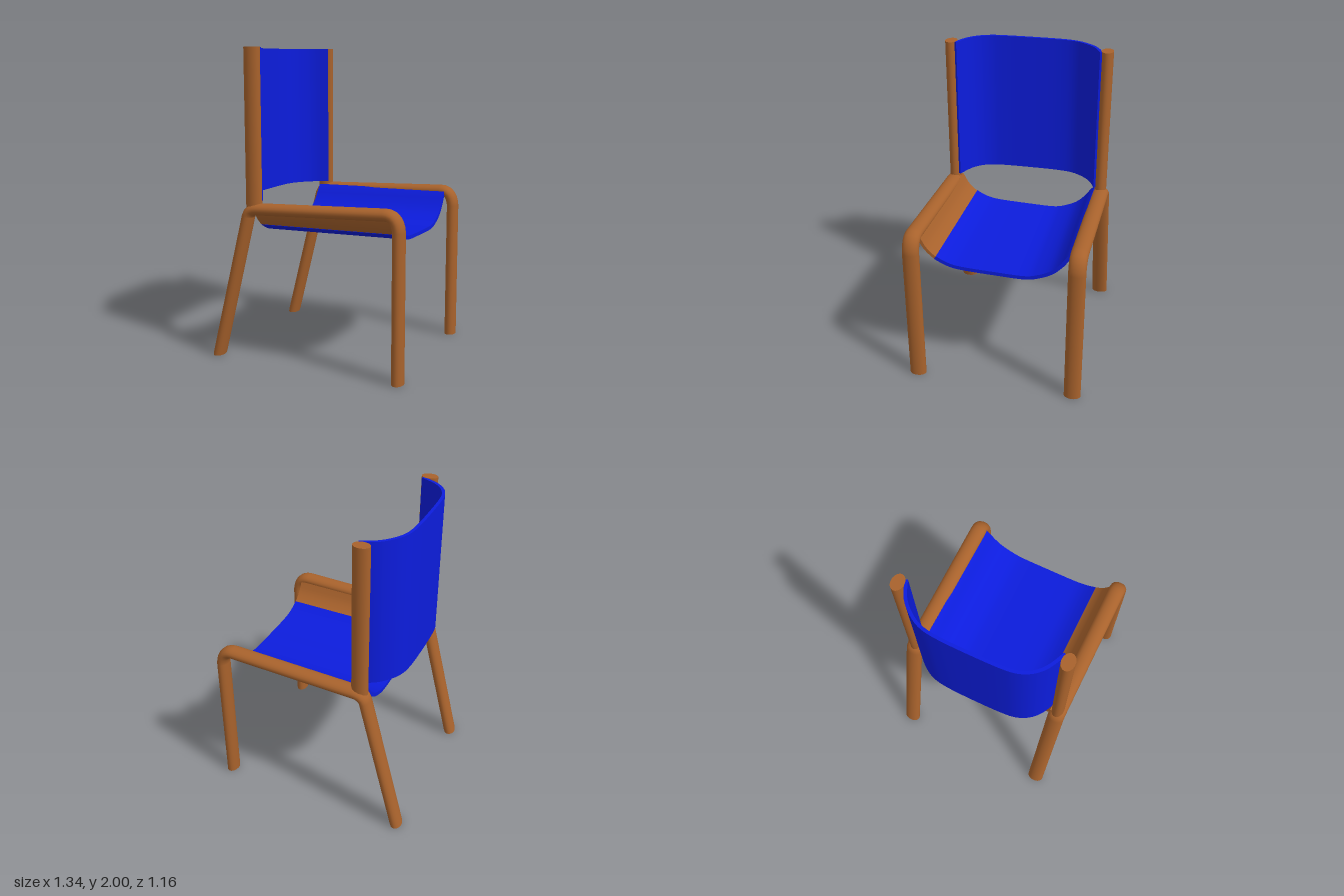
import * as THREE from 'three';
import { toCreasedNormals } from 'three/addons/utils/BufferGeometryUtils.js';

const wood = new THREE.MeshStandardMaterial({ color: 0xa8622c });
const fabric = new THREE.MeshStandardMaterial({ color: 0x0c1cdc });
const v2 = (p) => new THREE.Vector2(p[0], p[1]);
const v3 = (x, y) => new THREE.Vector3(x, y, 0);

// Solid sheet: a curved centreline given thickness, extruded by depth
function sheet(curve, from, to, thickness, depth) {
  const left = [], right = [], n = 40;
  for (let i = 0; i <= n; i++) {
    const t = from + (to - from) * i / n;
    const p = curve.getPointAt(t), d = curve.getTangentAt(t);
    const off = new THREE.Vector2(-d.y, d.x).multiplyScalar(thickness / 2);
    left.push(p.clone().add(off));
    right.unshift(p.clone().sub(off));
  }
  const geo = new THREE.ExtrudeGeometry(new THREE.Shape([...left, ...right]),
    { depth, bevelEnabled: false });
  return toCreasedNormals(geo, 0.7);
}

function add(parent, name, geo, mat) {
  const mesh = new THREE.Mesh(geo, mat);
  mesh.name = name;
  parent.add(mesh);
  return mesh;
}

// Bent oval tube: back leg, side rail and front leg in one piece, plus the post
function sideFrame(name, side) {
  const g = new THREE.Group();
  g.name = name;
  const path = new THREE.CurvePath();
  const a = v3(-0.635, 0), b = v3(-0.395, 0.95), c = v3(-0.31, 0.995),
    d = v3(0.53, 1.025), e = v3(0.622, 0.93), f = v3(0.625, 0);
  path.add(new THREE.LineCurve3(a, b));
  path.add(new THREE.QuadraticBezierCurve3(b, v3(-0.382, 0.995), c));
  path.add(new THREE.LineCurve3(c, d));
  path.add(new THREE.QuadraticBezierCurve3(d, v3(0.61, 1.03), e));
  path.add(new THREE.LineCurve3(e, f));
  const tube = new THREE.TubeGeometry(path, 120, 0.038, 20, false);
  const pos = tube.attributes.position;
  for (let i = 0; i < pos.count; i++) if (pos.getY(i) < 0.0121) pos.setY(i, 0); // flat feet
  tube.scale(1, 1, 1.45);
  add(g, 'legsAndRail', tube, wood);
  for (const x of [a.x, f.x]) {
    const foot = new THREE.CircleGeometry(0.038, 20).rotateX(Math.PI / 2).scale(1, 1, 1.45);
    add(g, 'footCap', foot, wood).position.set(x, 0, 0);
  }
  const post = new THREE.CylinderGeometry(1, 1, 1.01, 24).scale(0.054, 1, 0.04);
  add(g, 'backPost', post, wood).position.set(-0.355, 1.495, -0.004 * side);
  g.position.z = 0.524 * side;
  return g;
}

export function createModel() {
  const model = new THREE.Group();
  model.name = 'chair';
  model.add(sideFrame('leftSideFrame', -1), sideFrame('rightSideFrame', 1));

  // Sling seat: section runs from the +z rail to the -z rail
  const section = new THREE.SplineCurve([
    [-0.485, 1.01], [-0.45, 0.945], [-0.41, 0.9], [-0.365, 0.868], [-0.29, 0.836],
    [-0.2, 0.822], [0, 0.815], [0.19, 0.813], [0.28, 0.834], [0.36, 0.873],
    [0.42, 0.93], [0.46, 0.985], [0.485, 1.01]].map(v2));
  const seat = new THREE.Group();
  seat.name = 'seat';
  const depth = 0.96, split = 0.152;
  add(seat, 'seatEdgeStrip', sheet(section, 0, split, 0.02, depth), wood);
  add(seat, 'seatSling', sheet(section, split, 1, 0.024, depth), fabric);
  for (const m of seat.children) m.geometry.rotateY(Math.PI / 2);
  seat.position.x = -0.37;
  seat.rotation.z = 0.014;
  model.add(seat);

  // Wrapped backrest: plan curve from post to post, extruded upwards
  const plan = new THREE.SplineCurve([
    [-0.32, -0.485], [-0.42, -0.438], [-0.485, -0.38], [-0.525, -0.3], [-0.539, -0.2],
    [-0.545, 0], [-0.544, 0.17], [-0.53, 0.28], [-0.49, 0.36], [-0.42, 0.435],
    [-0.32, 0.485]].map(v2));
  const back = sheet(plan, 0, 1, 0.02, 0.957).rotateX(-Math.PI / 2);
  add(model, 'backrest', back, fabric).position.y = 1.042;
  return model;
}
